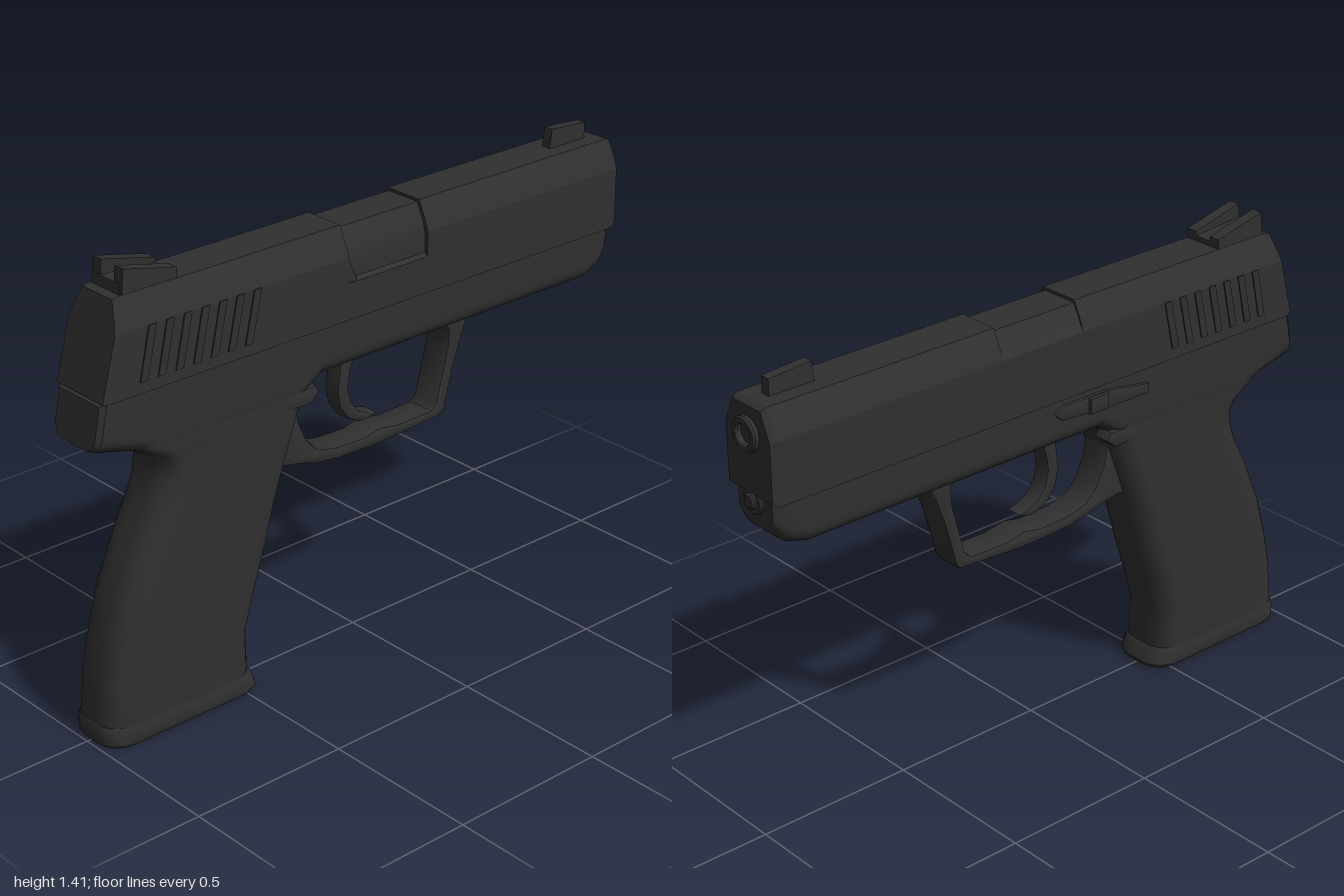
import * as THREE from 'three';
import { toCreasedNormals } from 'three/addons/utils/BufferGeometryUtils.js';

const CX = 0.005; // centre plane of the body
const gunmetal = new THREE.MeshStandardMaterial({ color: 0x303030 });
gunmetal.name = 'gunmetal';

// Skin a row of equal-length rings of [x, y, z] and cap both ends.
function loft(rings, crease = 0.6) {
  const n = rings[0].length, pos = [], idx = [];
  rings.forEach(r => r.forEach(p => pos.push(...p)));
  for (let i = 0; i < rings.length - 1; i++) {
    for (let j = 0; j < n; j++) {
      const k = (j + 1) % n, a = i * n + j, b = i * n + k, c = a + n, d = b + n;
      idx.push(a, b, d, a, d, c);
    }
  }
  [0, rings.length - 1].forEach((ri, end) => {
    const c = [0, 1, 2].map(a => rings[ri].reduce((s, p) => s + p[a], 0) / n);
    const ci = pos.length / 3;
    pos.push(...c);
    for (let j = 0; j < n; j++) {
      const a = ri * n + j, b = ri * n + (j + 1) % n;
      end ? idx.push(ci, a, b) : idx.push(ci, b, a);
    }
  });
  // Turn the surface outward if the rings ran the other way.
  const P = i => new THREE.Vector3().fromArray(pos, i * 3);
  let volume = 0;
  for (let i = 0; i < idx.length; i += 3) volume += P(idx[i]).dot(P(idx[i + 1]).cross(P(idx[i + 2])));
  if (volume < 0) idx.reverse();
  const g = new THREE.BufferGeometry();
  g.setAttribute('position', new THREE.Float32BufferAttribute(pos, 3));
  g.setIndex(idx);
  return toCreasedNormals(g, crease);
}

// Extrude a side outline of [z, y] points across the width, with a soft edge.
function sideExtrude(outline, x, halfWidth, bevel = 0) {
  const shape = new THREE.Shape(outline.map(([z, y]) => new THREE.Vector2(-z, y)));
  const g = new THREE.ExtrudeGeometry(shape, {
    depth: 2 * (halfWidth - bevel), bevelEnabled: bevel > 0, bevelSize: bevel,
    bevelThickness: bevel, bevelOffset: -bevel, bevelSegments: 2,
  });
  g.rotateY(Math.PI / 2).translate(x - halfWidth + bevel, 0, 0);
  return toCreasedNormals(g, 0.7);
}

// Rounded rectangle as a ring of [u, v] points.
function roundRect(u0, u1, v0, v1, r, steps = 5) {
  const out = [];
  [[u1 - r, v1 - r, 0], [u0 + r, v1 - r, 1], [u0 + r, v0 + r, 2], [u1 - r, v0 + r, 3]].forEach(([u, v, q]) => {
    for (let i = 0; i <= steps; i++) {
      const a = (q + i / steps) * Math.PI / 2;
      out.push([u + r * Math.cos(a), v + r * Math.sin(a)]);
    }
  });
  return out;
}

export function createModel() {
  const root = new THREE.Group();
  root.name = 'pistol';
  const add = (name, geometry, parent = root) => {
    const m = new THREE.Mesh(geometry, gunmetal);
    m.name = name;
    parent.add(m);
    return m;
  };

  // Slide: bevelled section, with a raked rear face
  const slide = new THREE.Group();
  slide.name = 'slide';
  root.add(slide);
  const body = [[-0.104, 1.066], [0.104, 1.066], [0.104, 1.255], [0.093, 1.285], [0.066, 1.342],
    [-0.066, 1.342], [-0.093, 1.285], [-0.104, 1.255]];
  const rake = y => (y - 1.066) * 0.26;
  const ring = (pts, z, s = 1, raked = false) =>
    pts.map(([x, y]) => [CX + x * s, 1.2 + (y - 1.2) * s, z - (raked ? rake(y) : 0)]);
  add('slideRear', loft([ring(body, 0.11), ring(body, 0.955, 1, true), ring(body, 0.972, 0.97, true)], 0.3), slide);
  add('slideFront', loft([ring(body, -0.19), ring(body, -0.965), ring(body, -0.983, 0.93)], 0.3), slide);

  // Ejection port: recessed on the +x side
  const port = [[-0.104, 1.066], [0.104, 1.066], [0.104, 1.178], [0.092, 1.188], [0.092, 1.25], [0.082, 1.285],
    [0.058, 1.333], [-0.063, 1.333], [-0.093, 1.275], [-0.104, 1.255]];
  add('ejectionPort', loft([ring(port, 0.11), ring(port, -0.19)], 0.3), slide);
  add('portRearRamp', sideExtrude([[0.11, 1.18], [0.11, 1.255], [0.08, 1.18]], CX + 0.097, 0.006), slide);

  // Slanted grip serrations on both sides
  for (const s of [-1, 1]) {
    for (let i = 0; i < 7; i++) {
      const z = 0.85 - i * 0.06;
      add('serration', sideExtrude([[z, 1.1], [z - 0.035, 1.255], [z - 0.06, 1.255], [z - 0.025, 1.1]],
        CX + s * 0.104, 0.004), slide);
    }
  }

  // Sights
  for (const s of [-1, 1]) {
    add('rearSightPost', sideExtrude([[0.87, 1.33], [0.862, 1.414], [0.685, 1.372], [0.685, 1.33]],
      CX + s * 0.047, 0.018), slide);
  }
  add('rearSightBase', sideExtrude([[0.875, 1.33], [0.87, 1.372], [0.685, 1.358], [0.685, 1.33]], CX, 0.06), slide);
  add('frontSight', sideExtrude([[-0.77, 1.33], [-0.78, 1.402], [-0.92, 1.392], [-0.92, 1.33]], CX, 0.016), slide);

  // Frame: rounded belly, lofted from tail to nose
  const frameStations = [ // z, half width, bottom, top, radius, rake
    [1.0, 0.088, 0.93, 1.06, 0.04, 0.2], [0.985, 0.1, 0.922, 1.07, 0.045, 0.2], [0.87, 0.1, 0.89, 1.07, 0.05, 0],
    [0.77, 0.1, 0.85, 1.07, 0.05, 0], [0.28, 0.1, 0.86, 1.07, 0.05, 0], [0.2, 0.1, 0.915, 1.07, 0.05, 0],
    [-0.86, 0.1, 0.915, 1.07, 0.05, 0], [-0.92, 0.095, 0.93, 1.07, 0.05, 0],
    [-0.955, 0.085, 0.96, 1.075, 0.045, 0], [-0.97, 0.075, 0.985, 1.08, 0.04, 0],
  ];
  add('frame', loft(frameStations.map(([z, w, b, t, r, k]) => {
    return roundRect(CX - w, CX + w, b, t + r, r).map(([x, y]) => {
      const yy = Math.min(y, t);
      return [x, yy, z - (yy - 0.93) * k];
    });
  })));

  // Grip: flat sides with rounded front and back straps
  const gripStations = [ // y, back z, front z, half width
    [0.06, 0.985, 0.465, 0.101], [0.2, 0.972, 0.467, 0.101], [0.32, 0.945, 0.43, 0.101], [0.45, 0.908, 0.388, 0.101],
    [0.6, 0.842, 0.344, 0.101], [0.7, 0.79, 0.308, 0.101], [0.76, 0.772, 0.285, 0.1], [0.81, 0.768, 0.265, 0.099],
    [0.85, 0.8, 0.25, 0.099], [0.89, 0.865, 0.225, 0.099], [0.94, 0.9, 0.2, 0.095],
  ];
  add('grip', loft(gripStations.map(([y, back, front, w]) =>
    roundRect(CX - w, CX + w, front, back, 0.075).map(([x, z]) => [x, y, z])), 0.8));

  // Magazine base with a flared toe
  add('magazineBase', loft([[0, 0.985, 0.445, 0.098], [0.012, 0.99, 0.44, 0.104], [0.05, 0.99, 0.455, 0.104],
    [0.064, 0.985, 0.465, 0.1]].map(([y, back, front, w]) =>
    roundRect(CX - w, CX + w, front, back, 0.07).map(([x, z]) => [x, y, z])), 0.5));

  // Trigger guard loop
  add('triggerGuard', sideExtrude([
    [0.34, 0.645], [0.31, 0.65], [0.25, 0.638], [0.19, 0.62], [0.1, 0.608], [-0.06, 0.603], [-0.2, 0.612],
    [-0.305, 0.618], [-0.322, 0.635], [-0.36, 0.775], [-0.395, 0.87], [-0.42, 0.93], [-0.31, 0.93], [-0.335, 0.89],
    [-0.33, 0.83], [-0.285, 0.665], [-0.265, 0.647], [-0.13, 0.645], [-0.06, 0.657], [0, 0.645], [0.11, 0.648],
    [0.18, 0.665], [0.22, 0.705], [0.25, 0.77], [0.26, 0.83], [0.34, 0.84],
  ], CX, 0.05, 0.012));

  // Curved trigger
  add('trigger', sideExtrude([
    [0.07, 0.94], [0.08, 0.87], [0.088, 0.81], [0.078, 0.755], [0.045, 0.71], [0, 0.688], [-0.03, 0.686],
    [-0.062, 0.7], [-0.03, 0.71], [0.005, 0.725], [0.035, 0.765], [0.046, 0.81], [0.038, 0.86], [0.01, 0.94],
  ], CX, 0.03, 0.008));

  // Slide stop lever on the -x side, with a raised thumb pad
  add('slideStop', sideExtrude([[0.37, 0.99], [0.37, 1.02], [0.2, 1.048], [0.03, 1.048], [0, 1.03], [0.03, 1.005],
    [0.2, 0.99]], -0.097, 0.008, 0.003));
  add('slideStopPad', sideExtrude([[0.2, 0.995], [0.2, 1.045], [0.13, 1.045], [0.13, 0.995]], -0.1, 0.016, 0.004));

  // Magazine release paddles either side, behind the guard
  for (const s of [-1, 1]) {
    add('magazineRelease', sideExtrude([[0.35, 0.85], [0.33, 0.895], [0.23, 0.9], [0.215, 0.875], [0.25, 0.845]],
      CX + s * 0.07, 0.03, 0.01));
  }

  // Muzzle ring with bore, and the guide rod end below it
  const turned = (name, pts, y, z) => {
    const g = new THREE.LatheGeometry(pts.map(p => new THREE.Vector2(...p)), 24);
    const m = add(name, toCreasedNormals(g.rotateX(-Math.PI / 2), 0.5));
    m.position.set(CX, y, z);
  };
  turned('muzzle', [[0.052, -0.03], [0.052, 0.014], [0.047, 0.02], [0.034, 0.02], [0.03, 0.014], [0.03, -0.01],
    [0, -0.01]], 1.25, -0.98);
  turned('guideRodCollar', [[0.042, -0.06], [0.042, 0.006], [0.036, 0.012], [0, 0.012]], 1.052, -0.97);
  turned('guideRodTip', [[0.024, -0.03], [0.024, 0.018], [0.018, 0.024], [0, 0.024]], 1.052, -0.97);

  return root;
}
